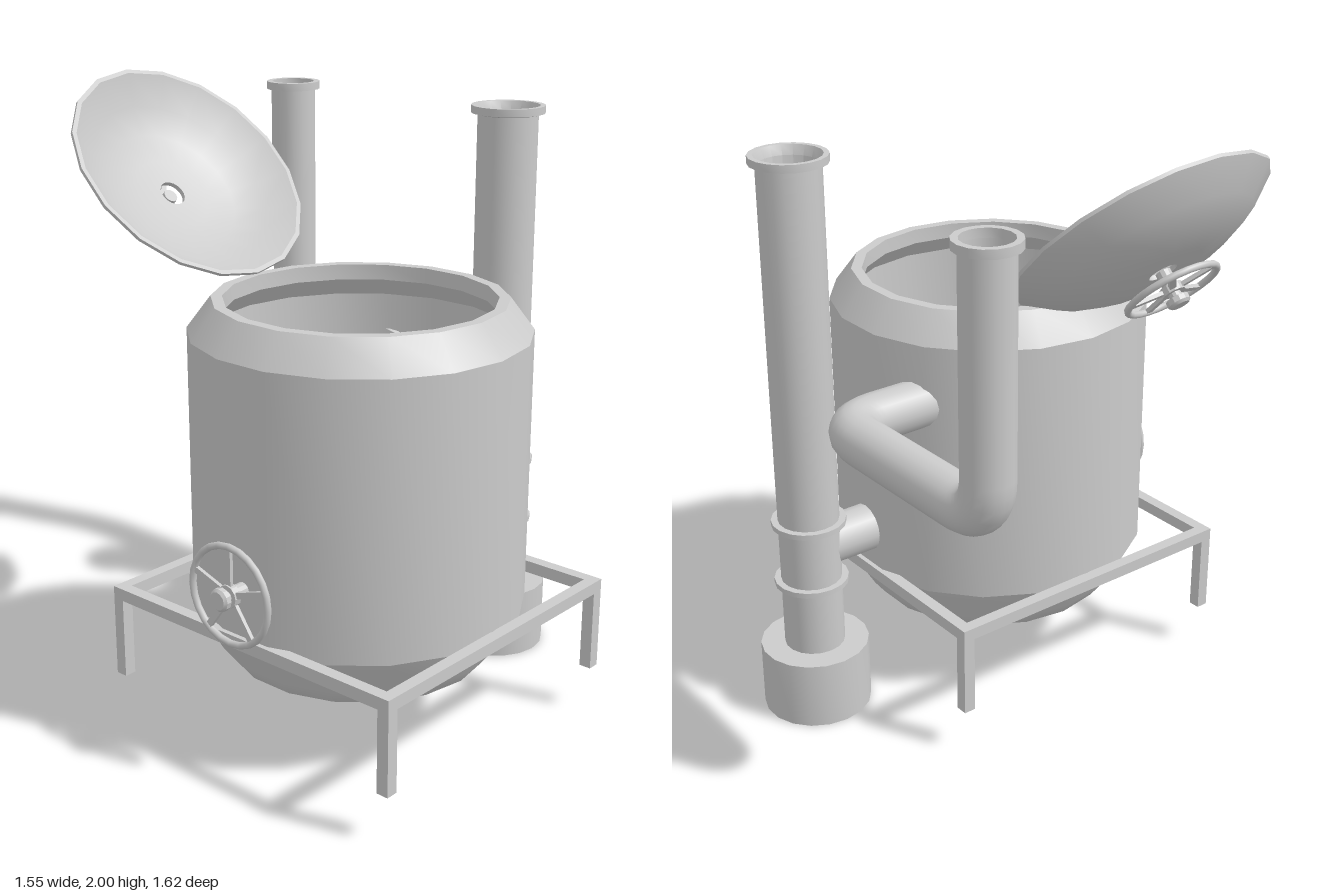
import * as THREE from 'three';
import { toCreasedNormals } from 'three/addons/utils/BufferGeometryUtils.js';

const material = new THREE.MeshStandardMaterial({ color: 0xcccccc, side: THREE.DoubleSide });

function part(name, geometry, parent, x = 0, y = 0, z = 0) {
  const mesh = new THREE.Mesh(geometry, material);
  mesh.name = name;
  mesh.position.set(x, y, z);
  parent.add(mesh);
  return mesh;
}

// Turned shape from [radius, height] pairs, with crisp edges
function turned(points, sides) {
  const profile = points.map(([r, y]) => new THREE.Vector2(r, y));
  return toCreasedNormals(new THREE.LatheGeometry(profile, sides), 0.5);
}

// Hollow ring of rectangular section
function ring(outer, inner, height, sides) {
  const h = height / 2;
  return turned([[inner, -h], [outer, -h], [outer, h], [inner, h], [inner, -h]], sides);
}

// Spoked hand wheel facing +z
function handWheel(name, radius) {
  const wheel = new THREE.Group();
  wheel.name = name;
  const tube = 0.011;
  part('wheelRim', new THREE.TorusGeometry(radius - tube, tube, 8, 24), wheel);
  const hub = turned([
    [0, -0.06], [0.024, -0.06], [0.024, -0.012], [0.036, -0.012], [0.036, 0.012],
    [0.02, 0.012], [0.02, 0.024], [0.036, 0.028], [0.036, 0.044], [0.028, 0.052], [0, 0.052],
  ], 12).rotateX(Math.PI / 2);
  part('wheelHub', hub, wheel);
  const length = radius - tube - 0.025;
  for (let i = 0; i < 5; i++) {
    const spoke = new THREE.BoxGeometry(0.02, length, 0.012).translate(0, 0.025 + length / 2, 0);
    part('wheelSpoke', spoke, wheel).rotation.z = (i / 5) * Math.PI * 2;
  }
  return wheel;
}

export function createModel() {
  const model = new THREE.Group();
  model.name = 'boiler';
  const cx = -0.15, cz = 0.243;

  // Open kettle with bevelled shoulders and an inner wall
  part('tank', turned([
    [0, 0.23], [0.37, 0.23], [0.415, 0.25], [0.45, 0.295], [0.53, 0.43],
    [0.53, 1.3], [0.455, 1.4], [0.42, 1.4], [0.42, 1.35], [0.47, 1.29],
    [0.47, 0.44], [0.42, 0.36], [0.36, 0.27], [0, 0.27],
  ], 18), model, cx, 0, cz);

  // Square stand around the tank
  const stand = new THREE.Group();
  stand.name = 'stand';
  stand.position.set(cx, 0, cz);
  model.add(stand);
  const hx = 0.5375, hz = 0.5675, bar = 0.04;
  for (const s of [-1, 1]) {
    part('sideRail', new THREE.BoxGeometry(bar, bar, hz * 2), stand, s * (hx - bar / 2), 0.435, 0);
    part('crossRail', new THREE.BoxGeometry((hx - bar) * 2, bar, bar), stand, 0, 0.435, s * (hz - bar / 2));
    for (const t of [-1, 1]) {
      part('leg', new THREE.BoxGeometry(bar, 0.265, bar), stand, s * (hx - bar / 2), 0.2825, t * (hz - bar / 2));
    }
  }

  // Tilted dished lid with a hole and a hand wheel on its back
  const lid = new THREE.Group();
  lid.name = 'lid';
  lid.position.set(cx, 1.7, -0.485);
  lid.rotation.x = Math.PI / 4;
  model.add(lid);
  part('lidDish', turned([
    [0.045, -0.14], [0.13, -0.138], [0.23, -0.122], [0.33, -0.078], [0.42, -0.008], [0.42, 0.003],
    [0.405, 0.003], [0.32, -0.065], [0.225, -0.106], [0.13, -0.122], [0.045, -0.125], [0.045, -0.14],
  ], 18), lid);
  const lidWheel = handWheel('lidWheel', 0.155);
  lidWheel.position.y = -0.198;
  lidWheel.rotation.x = Math.PI / 2;
  lid.add(lidWheel);

  // Hand wheel on the side of the tank
  const sideWheel = handWheel('sideWheel', 0.165);
  sideWheel.position.set(-0.728, 0.61, 0.24);
  sideWheel.rotation.y = -Math.PI / 2;
  model.add(sideWheel);

  // Tall hollow column with wide base, top flange and two collars
  const px = 0.592;
  part('column', turned([
    [0.18, 0], [0.18, 0.23], [0.1, 0.23], [0.1, 1.87], [0.122, 1.875], [0.122, 1.9],
    [0.105, 1.9], [0.092, 1.87], [0.092, 0.222], [0.172, 0.222], [0.172, 0], [0.18, 0],
  ], 18), model, px, 0, 0.24);
  for (const y of [0.465, 0.68]) part('collar', ring(0.122, 0.095, 0.018, 18), model, px, y, 0.24);

  // Short pipe joining tank and column
  const stub = new THREE.CylinderGeometry(0.08, 0.08, 0.28, 16, 1, true).rotateZ(Math.PI / 2);
  part('connectingPipe', stub, model, 0.46, 0.58, 0.24);

  // Exhaust pipe: out of the tank, backward, then upward
  const v = (x, y, z) => new THREE.Vector3(x, y, z);
  const y0 = 1.093, z0 = 0.02, z1 = -0.715, b = 0.13;
  const path = new THREE.CurvePath();
  path.add(new THREE.LineCurve3(v(0.25, y0, z0), v(px - b, y0, z0)));
  path.add(new THREE.QuadraticBezierCurve3(v(px - b, y0, z0), v(px, y0, z0), v(px, y0, z0 - b)));
  path.add(new THREE.LineCurve3(v(px, y0, z0 - b), v(px, y0, z1 + b)));
  path.add(new THREE.QuadraticBezierCurve3(v(px, y0, z1 + b), v(px, y0, z1), v(px, y0 + b, z1)));
  path.add(new THREE.LineCurve3(v(px, y0 + b, z1), v(px, 1.89, z1)));
  part('exhaustPipe', new THREE.TubeGeometry(path, 64, 0.079, 16), model);
  part('exhaustFlange', ring(0.096, 0.075, 0.027, 16), model, px, 1.887, z1);

  return model;
}
